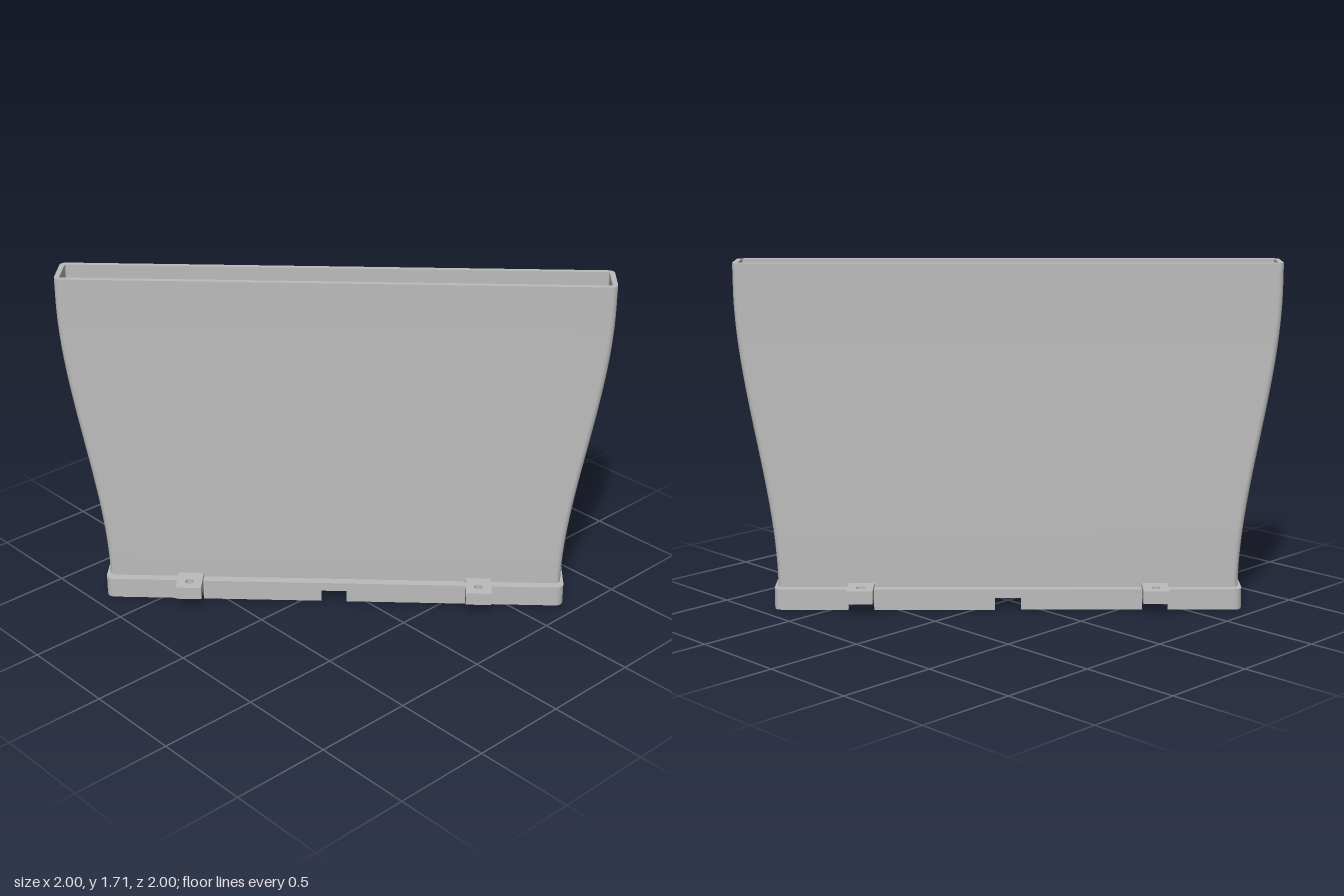
import * as THREE from 'three';
import { mergeGeometries, toCreasedNormals } from 'three/addons/utils/BufferGeometryUtils.js';

const TOP = 1.71, LEDGE = 0.06, COLLAR_TOP = 0.105, WALL = 0.025;
const COLLAR = { l: 1.155, w: 0.165, r: 0.04 };
const TAB_U = 0.725, TAB_HALF = 0.064;

// Points of a rounded rectangle, counter-clockwise, half length l and half width w
function roundedRect(l, w, r, steps = 6) {
  const pts = [];
  [[1, 1], [-1, 1], [-1, -1], [1, -1]].forEach(([sx, sy], q) => {
    for (let i = 0; i <= steps; i++) {
      const a = (q + i / steps) * Math.PI / 2;
      pts.push(new THREE.Vector2(sx * (l - r) + r * Math.cos(a), sy * (w - r) + r * Math.sin(a)));
    }
  });
  return pts;
}

// Extrudes a plan shape upward from y0 to y1
function extrudeUp(shape, y0, y1) {
  const g = new THREE.ExtrudeGeometry(shape, { depth: y1 - y0, bevelEnabled: false, curveSegments: 24 });
  return toCreasedNormals(g.rotateX(-Math.PI / 2).translate(0, y0, 0), 0.6);
}

// Cross-section of the duct at height y, inset by the wall thickness for the inside
function ductSection(y, inset) {
  const t = THREE.MathUtils.smoothstep(y, 0.1, 1.6);
  const l = THREE.MathUtils.lerp(1.14, 1.325, t), w = THREE.MathUtils.lerp(0.122, 0.107, t);
  return roundedRect(l - inset, w - inset, inset ? 0.008 : 0.03);
}

// Skins a stack of equal-length rings of [y, inset]
function skin(levels) {
  const pos = [], idx = [];
  let n = 0;
  levels.forEach(([y, inset], row) => {
    const ring = ductSection(y, inset);
    n = ring.length;
    ring.forEach((p) => pos.push(p.x, y, -p.y));
    if (row === 0) return;
    for (let i = 0; i < n; i++) {
      const j = (i + 1) % n, a = (row - 1) * n, b = row * n;
      idx.push(a + i, a + j, b + j, a + i, b + j, b + i);
    }
  });
  const g = new THREE.BufferGeometry();
  g.setAttribute('position', new THREE.Float32BufferAttribute(pos, 3));
  g.setIndex(idx);
  g.computeVertexNormals();
  return g;
}

export function createModel() {
  const model = new THREE.Group();
  model.name = 'flaredDuct';
  const grey = new THREE.MeshStandardMaterial({ color: 0xbcbcbc });
  grey.name = 'plain grey';
  const duct = new THREE.Group();
  duct.name = 'diagonalAssembly';
  duct.rotation.y = -Math.PI / 4;
  model.add(duct);
  const add = (name, geometry) => {
    const mesh = new THREE.Mesh(geometry, grey);
    mesh.name = name;
    duct.add(mesh);
    return mesh;
  };

  // Hollow flared body: outside, top rim, inside and bottom rim
  const heights = Array.from({ length: 33 }, (_, i) => LEDGE + (TOP - LEDGE) * i / 32);
  add('flaredBody', mergeGeometries([
    skin(heights.map((y) => [y, 0])),
    skin([[TOP, 0], [TOP, WALL]]),
    skin([...heights].reverse().map((y) => [y, WALL])),
    skin([[LEDGE, WALL], [LEDGE, 0]]),
  ]));

  // Flange joining the body to the collar
  const flange = new THREE.Shape(roundedRect(COLLAR.l, COLLAR.w, COLLAR.r));
  flange.holes.push(new THREE.Path(roundedRect(1.125, 0.107, 0.015)));
  add('collarFlange', extrudeUp(flange, LEDGE, COLLAR_TOP));

  // U-shaped skirt ends of the collar, outside the notches
  const cut = TAB_U + TAB_HALF;
  const endHalf = (l, w, r) => roundedRect(l, w, r).filter((p) => p.x > 0);
  const outer = endHalf(COLLAR.l, COLLAR.w, COLLAR.r);
  const inner = endHalf(COLLAR.l - WALL, COLLAR.w - WALL, 0.015);
  // The list starts at the +x corner, so put the lower corner first
  const half = outer.length / 2;
  const ordered = (p) => [...p.slice(half), ...p.slice(0, half)];
  const endShape = new THREE.Shape([
    new THREE.Vector2(cut, -COLLAR.w), ...ordered(outer), new THREE.Vector2(cut, COLLAR.w),
    new THREE.Vector2(cut, COLLAR.w - WALL), ...ordered(inner).reverse(),
    new THREE.Vector2(cut, -COLLAR.w + WALL),
  ]);
  for (const side of [0, 1]) {
    add('skirtEnd', extrudeUp(endShape, 0, LEDGE)).rotation.y = side * Math.PI;
  }

  // Straight skirt walls between the notches, and the screw tabs
  const tab = new THREE.Shape([
    new THREE.Vector2(-TAB_HALF, 0.115), new THREE.Vector2(TAB_HALF, 0.115),
    new THREE.Vector2(TAB_HALF, 0.269), new THREE.Vector2(-TAB_HALF, 0.269),
  ]);
  tab.holes.push(new THREE.Path().absarc(0, 0.205, 0.022, 0, Math.PI * 2, true));
  const tabGeometry = extrudeUp(tab, LEDGE, 0.125);
  const from = TAB_HALF, to = TAB_U - TAB_HALF;
  const wallGeometry = new THREE.BoxGeometry(to - from, LEDGE, WALL);
  for (const sx of [-1, 1]) {
    for (const sz of [-1, 1]) {
      add('skirtWall', wallGeometry)
        .position.set(sx * (from + to) / 2, LEDGE / 2, sz * (COLLAR.w - WALL / 2));
      const mesh = add('screwTab', tabGeometry);
      mesh.position.x = sx * TAB_U;
      mesh.rotation.y = sz > 0 ? Math.PI : 0;
    }
  }
  return model;
}
